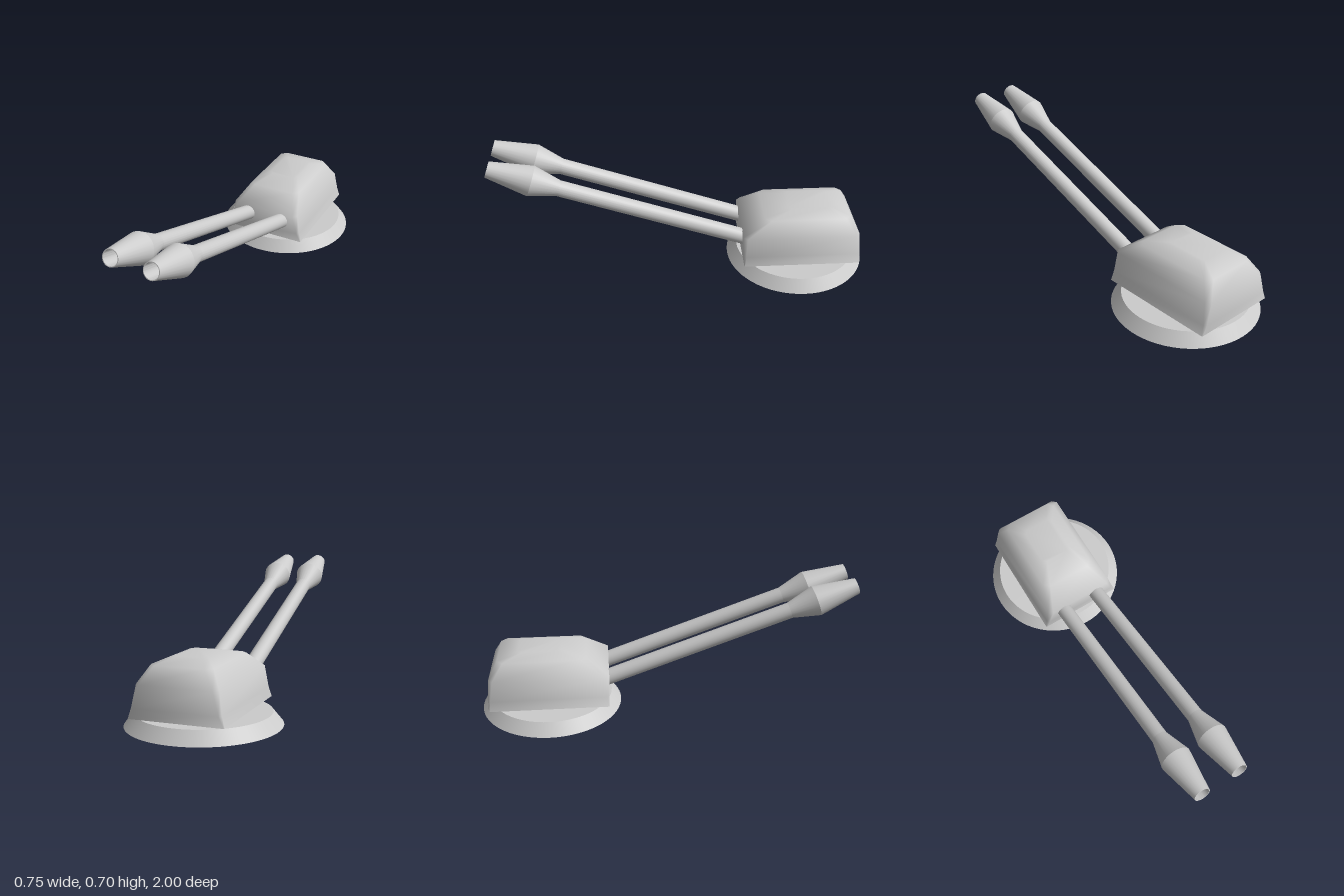
import * as THREE from 'three';
import { toCreasedNormals } from 'three/addons/utils/BufferGeometryUtils.js';

const material = new THREE.MeshStandardMaterial({ color: 0xcccccc });
const shellMaterial = new THREE.MeshStandardMaterial({ color: 0xcccccc, side: THREE.DoubleSide });

function named(name, geometry, mat = material) {
  const mesh = new THREE.Mesh(geometry, mat);
  mesh.name = name;
  return mesh;
}

// Armoured housing: chamfered rectangles stacked from bottom to top
function housingGeometry() {
  // y, half width, front z, back z, corner chamfer
  const levels = [
    [0.08, 0.23, -0.318, -0.94, 0.003],
    [0.13, 0.216, -0.316, -0.942, 0.012],
    [0.235, 0.198, -0.312, -0.936, 0.022],
    [0.317, 0.15, -0.43, -0.89, 0.03],
    [0.345, 0.085, -0.56, -0.785, 0.02],
  ];
  const positions = [];
  const index = [];
  for (const [y, w, f, b, c] of levels) {
    const ring = [[w - c, f], [w, f - c], [w, b + c], [w - c, b],
      [-w + c, b], [-w, b + c], [-w, f - c], [-w + c, f]];
    for (const [x, z] of ring) positions.push(x, y, z);
  }
  for (let l = 0; l < levels.length - 1; l++) {
    for (let i = 0; i < 8; i++) {
      const a = l * 8 + i, b = l * 8 + (i + 1) % 8;
      index.push(a, b, b + 8, a, b + 8, a + 8);
    }
  }
  // Roof and floor fans
  const top = (levels.length - 1) * 8;
  for (let i = 1; i < 7; i++) {
    index.push(top, top + i, top + i + 1);
    index.push(0, i + 1, i);
  }
  const g = new THREE.BufferGeometry();
  g.setAttribute('position', new THREE.Float32BufferAttribute(positions, 3));
  g.setIndex(index);
  return toCreasedNormals(g, 1.25);
}

// Barrel with flared muzzle and bore; the muzzle rim is at the origin
function barrelGeometry() {
  const profile = [
    [0, -1.41], [0.042, -1.41], [0.042, -0.367], [0.08, -0.223],
    [0.042, 0], [0.038, 0], [0.038, -0.22], [0, -0.22],
  ].map(([r, y]) => new THREE.Vector2(r, y));
  return toCreasedNormals(new THREE.LatheGeometry(profile, 24), 0.36);
}

export function createModel() {
  const model = new THREE.Group();
  model.name = 'twinGunTurret';

  // Round tapered base
  const base = named('base', new THREE.CylinderGeometry(0.325, 0.375, 0.062, 64));
  base.position.set(0, 0.031, -0.625);
  model.add(base);

  model.add(named('housing', housingGeometry(), shellMaterial));

  // Pair of barrels raised by 20 degrees
  const geometry = barrelGeometry();
  for (const [side, name] of [[1, 'leftBarrel'], [-1, 'rightBarrel']]) {
    const barrel = named(name, geometry);
    barrel.position.set(side * 0.104, 0.665, 0.985);
    barrel.rotation.x = THREE.MathUtils.degToRad(70);
    model.add(barrel);
  }
  return model;
}
